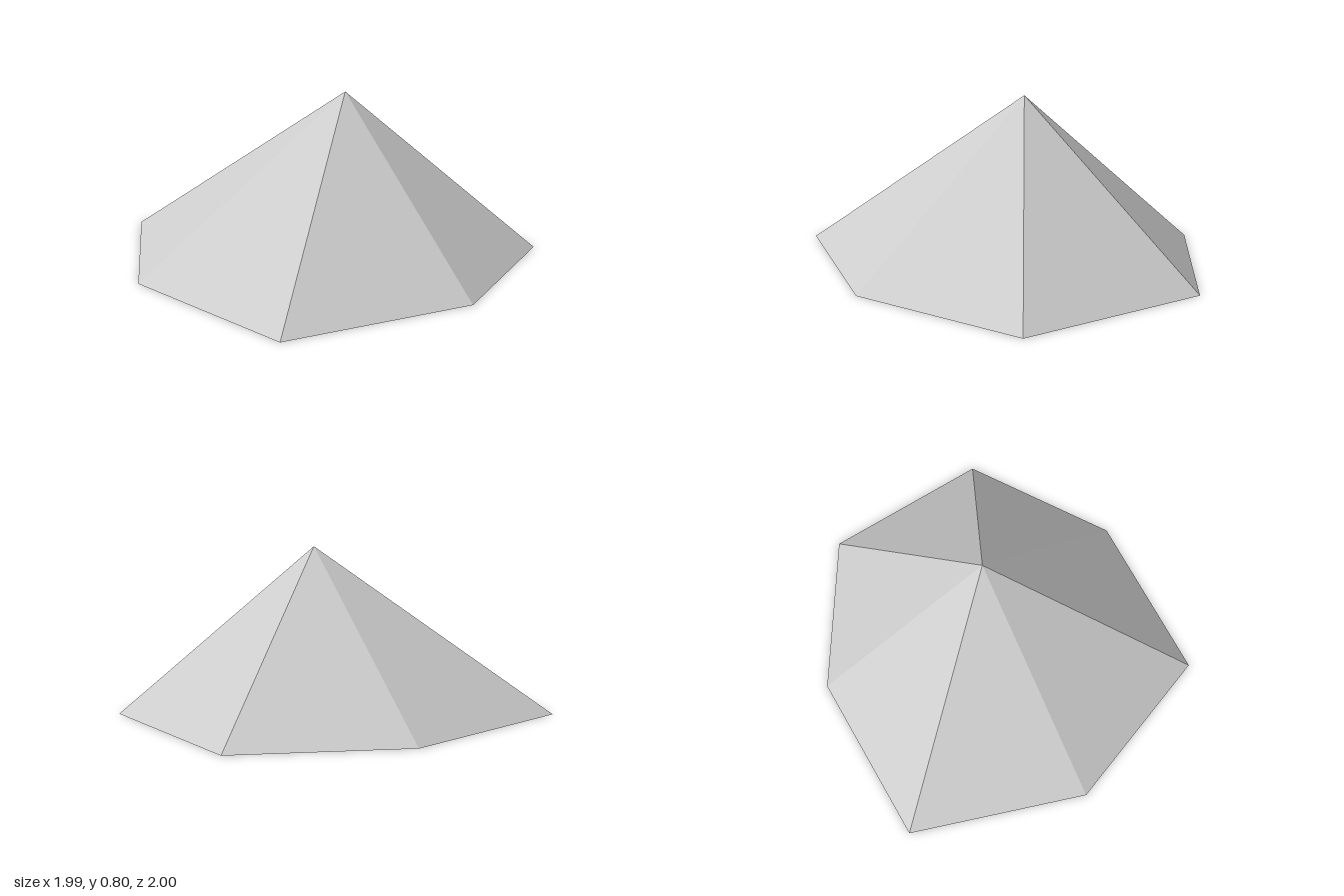
import * as THREE from 'three';

export function createModel() {
  const group = new THREE.Group();
  group.name = 'tentCanopy';

  const lightGrey = new THREE.MeshStandardMaterial({
    color: 0xcccccc, flatShading: true, side: THREE.DoubleSide,
  });
  lightGrey.name = 'lightGrey';

  // Off-centre peak and irregular seven-cornered rim, as [x, z], clockwise from above
  const apex = [0.055, 0.8, 0.135];
  const rim = [
    [-0.265, -1], [0.543, -0.615], [0.99, 0.09], [0.633, 0.907],
    [-0.22, 1], [-1, 0.56], [-0.905, -0.34],
  ];

  // One flat panel per rim edge; the underside stays open
  const positions = [];
  rim.forEach(([x, z], i) => {
    const [nx, nz] = rim[(i + 1) % rim.length];
    positions.push(...apex, nx, 0, nz, x, 0, z);
  });
  const geometry = new THREE.BufferGeometry();
  geometry.setAttribute('position', new THREE.Float32BufferAttribute(positions, 3));
  geometry.computeVertexNormals();

  const canopy = new THREE.Mesh(geometry, lightGrey);
  canopy.name = 'canopy';
  group.add(canopy);
  return group;
}
